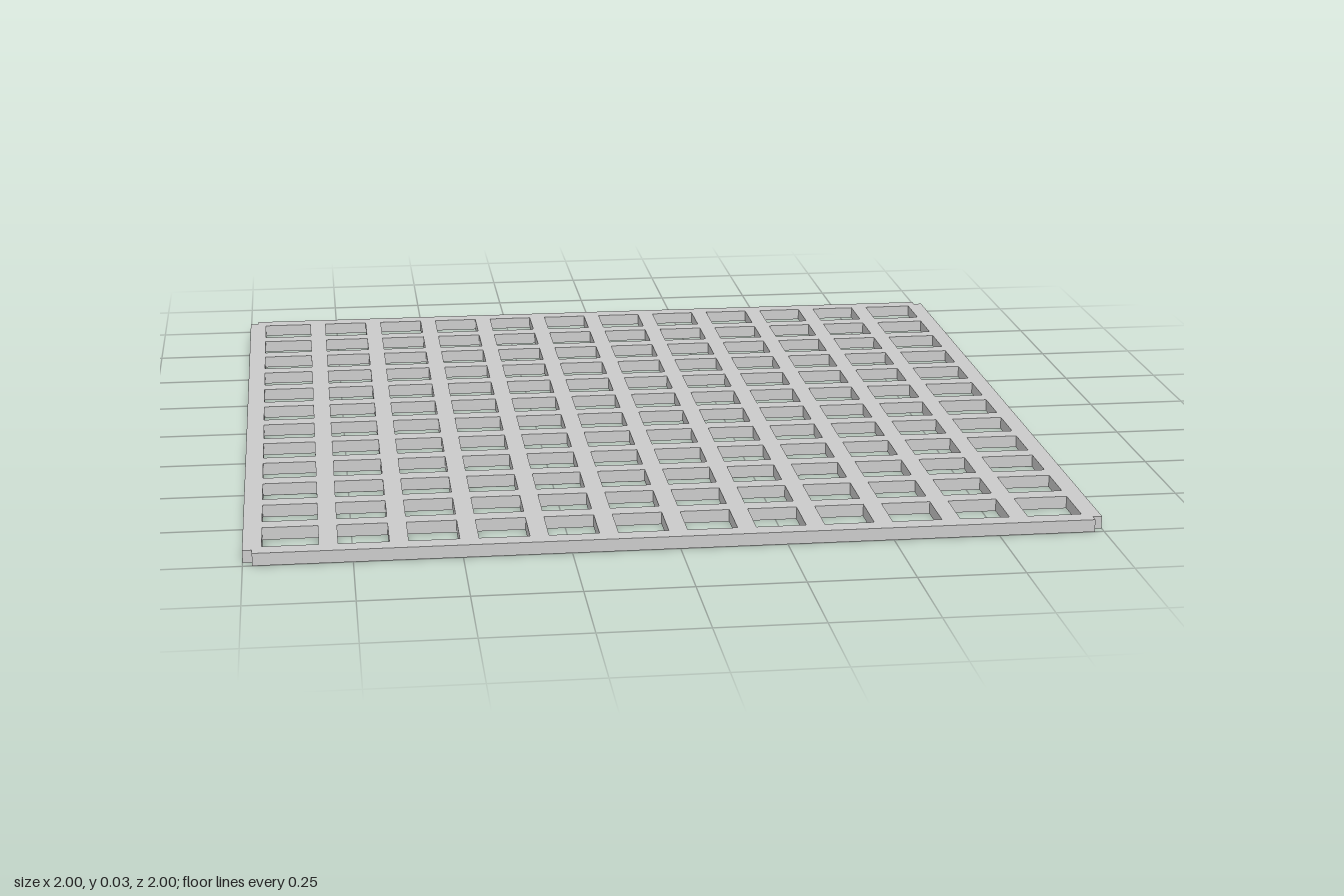
import * as THREE from 'three';

const BAR = 0.044;       // bar width
const THICK = 0.03;      // bar height
const PITCH = 0.161;     // spacing of the inner bars
const RIM = 1 - BAR / 2; // centre line of the rim bars, also where bars end

// Centre lines of the 13 bars, the same in both directions
function barCentres() {
  const centres = [-RIM];
  for (let i = -5; i <= 5; i++) centres.push(i * PITCH);
  centres.push(RIM);
  return centres;
}

// Outline of the crossed rim bars, with a small square notch at each corner
function outline() {
  const points = [];
  for (const [sx, sy] of [[1, 1], [-1, 1], [-1, -1], [1, -1]]) {
    const corner = [[1, RIM], [RIM, RIM], [RIM, 1]];
    if (sx * sy < 0) corner.reverse();
    for (const [x, y] of corner) points.push(new THREE.Vector2(sx * x, sy * y));
  }
  return new THREE.Shape(points);
}

// Rectangular opening between neighbouring bars
function opening(x0, x1, y0, y1) {
  return new THREE.Path([
    new THREE.Vector2(x0, y0), new THREE.Vector2(x0, y1),
    new THREE.Vector2(x1, y1), new THREE.Vector2(x1, y0),
  ]);
}

export function createModel() {
  const group = new THREE.Group();
  group.name = 'grate';

  // Square lattice: one plate with a 12 x 12 field of openings
  const shape = outline();
  const c = barCentres();
  const h = BAR / 2;
  for (let i = 0; i < c.length - 1; i++) {
    for (let j = 0; j < c.length - 1; j++) {
      shape.holes.push(opening(c[i] + h, c[i + 1] - h, c[j] + h, c[j + 1] - h));
    }
  }
  const geometry = new THREE.ExtrudeGeometry(shape, { depth: THICK, bevelEnabled: false });
  geometry.rotateX(-Math.PI / 2); // lay flat, standing on y = 0

  const lattice = new THREE.Mesh(geometry, new THREE.MeshStandardMaterial({ color: 0xcccccc }));
  lattice.name = 'latticeBars';
  group.add(lattice);
  return group;
}
